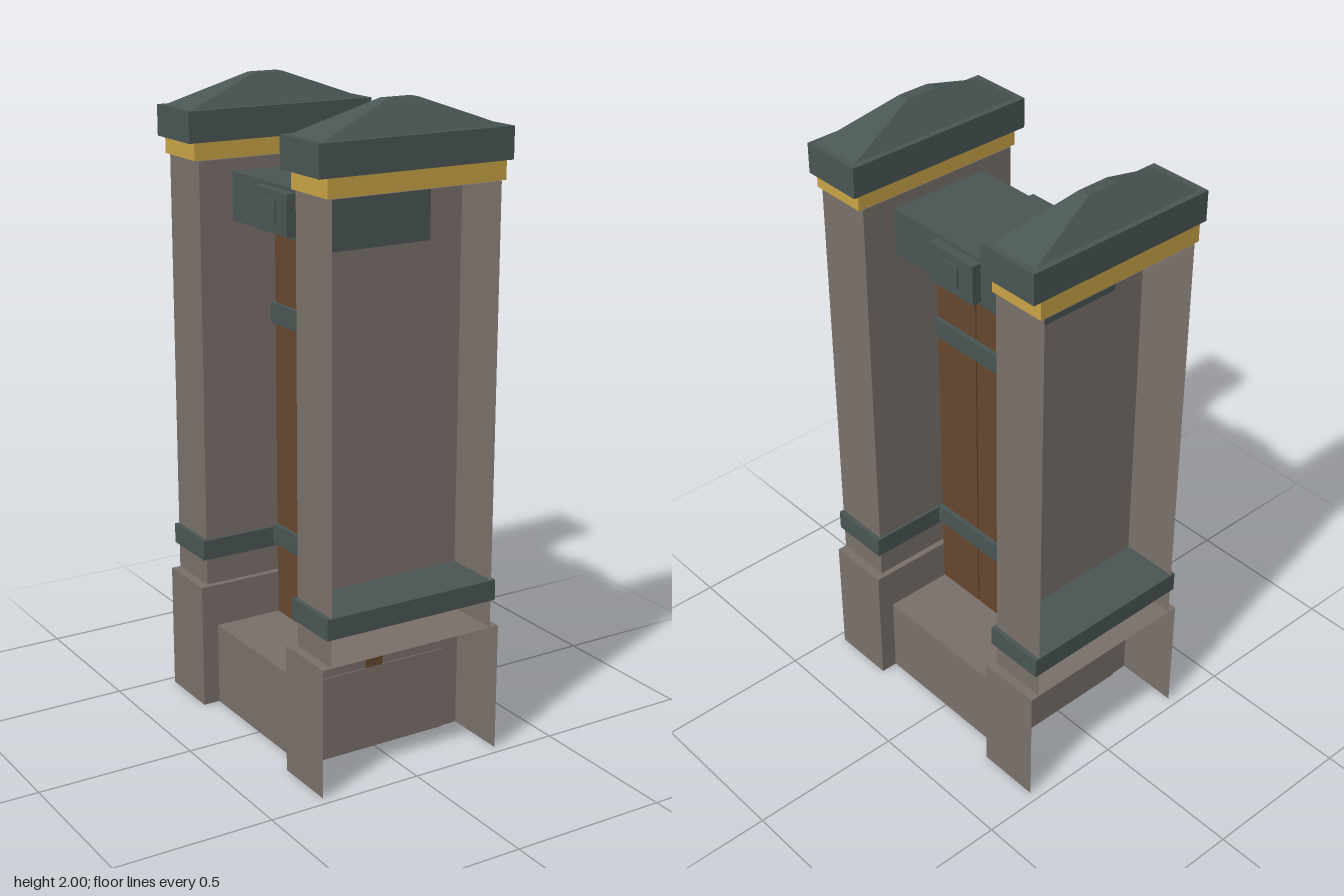
import * as THREE from 'three';

export function createModel() {
  const material = (name, color, side = THREE.FrontSide) => {
    const m = new THREE.MeshStandardMaterial({ color, side });
    m.name = name;
    return m;
  };
  const stone = material('stone', 0x7a706a, THREE.DoubleSide);
  const slate = material('slate', 0x4a5654);
  const wood = material('wood', 0x66472d);
  const gold = material('gold', 0xc9a446);

  // Box between two corners; faces listed in "open" are left out
  // (0 +x, 1 -x, 2 top, 3 bottom, 4 +z, 5 -z)
  function box(parent, name, mat, [x0, x1], [y0, y1], [z0, z1], open = []) {
    const g = new THREE.BoxGeometry(x1 - x0, y1 - y0, z1 - z0);
    if (open.length) {
      const index = Array.from(g.index.array);
      g.setIndex(index.filter((_, i) => !open.includes(Math.floor(i / 6))));
      g.clearGroups();
    }
    g.translate((x0 + x1) / 2, (y0 + y1) / 2, (z0 + z1) / 2);
    const mesh = new THREE.Mesh(g, mat);
    mesh.name = name;
    parent.add(mesh);
    return mesh;
  }
  const sym = (h) => [-h, h];

  // Hipped roof: a box whose upper corners are drawn in to a small flat ridge
  function roof(parent) {
    const mesh = box(parent, 'capRoof', slate, sym(0.3), [1.91, 2], [0.283, 0.452]);
    const p = mesh.geometry.attributes.position;
    for (let i = 0; i < p.count; i++) {
      if (p.getY(i) < 1.95) continue;
      p.setX(i, Math.sign(p.getX(i)) * 0.05);
      p.setZ(i, p.getZ(i) > 0.37 ? 0.386 : 0.349);
    }
    mesh.geometry = mesh.geometry.toNonIndexed();
    mesh.geometry.computeVertexNormals();
  }

  // Pillar, with the stonework open on its outer side
  function pillar(name) {
    const g = new THREE.Group();
    g.name = name;
    box(g, 'pillarBase', stone, sym(0.31), [0, 0.405], [0.262, 0.47], [3, 4]);
    box(g, 'pillarShaft', stone, sym(0.28), [0.405, 1.758], [0.281, 0.469], [3, 4]);
    box(g, 'lowerBand', slate, sym(0.295), [0.492, 0.557], [0.272, 0.47]);
    box(g, 'goldTrim', gold, sym(0.295), [1.76, 1.815], [0.281, 0.47]);
    box(g, 'capSlab', slate, sym(0.32), [1.815, 1.91], [0.265, 0.47]);
    roof(g);
    return g;
  }

  const model = new THREE.Group();
  model.name = 'gate';
  const front = pillar('frontPillar');
  const back = pillar('backPillar');
  back.rotation.y = Math.PI;
  model.add(front, back);

  // Sill under the door, open below
  box(model, 'sill', stone, sym(0.255), [0, 0.267], sym(0.266), [3]);

  // Door of three planks with two straps
  const door = new THREE.Group();
  door.name = 'door';
  model.add(door);
  for (const i of [-1, 0, 1]) {
    box(door, 'plank', wood, sym(0.03), [0.267, 1.55], [i * 0.1785 - 0.0865, i * 0.1785 + 0.0865]);
  }
  for (const y of [0.54, 1.27]) {
    box(door, 'strap', slate, sym(0.045), [y - 0.032, y + 0.032], sym(0.267));
  }

  // Lintel with a raised plate and a small boss on each face
  box(model, 'lintel', slate, sym(0.168), [1.57, 1.72], sym(0.285));
  for (const s of [-1, 1]) {
    const span = (a, b) => (s > 0 ? [a, b] : [-b, -a]);
    box(model, 'lintelPlate', slate, span(0.168, 0.199), [1.582, 1.708], sym(0.093));
    box(model, 'lintelBoss', slate, span(0.199, 0.204), [1.61, 1.68], sym(0.033));
  }
  return model;
}
